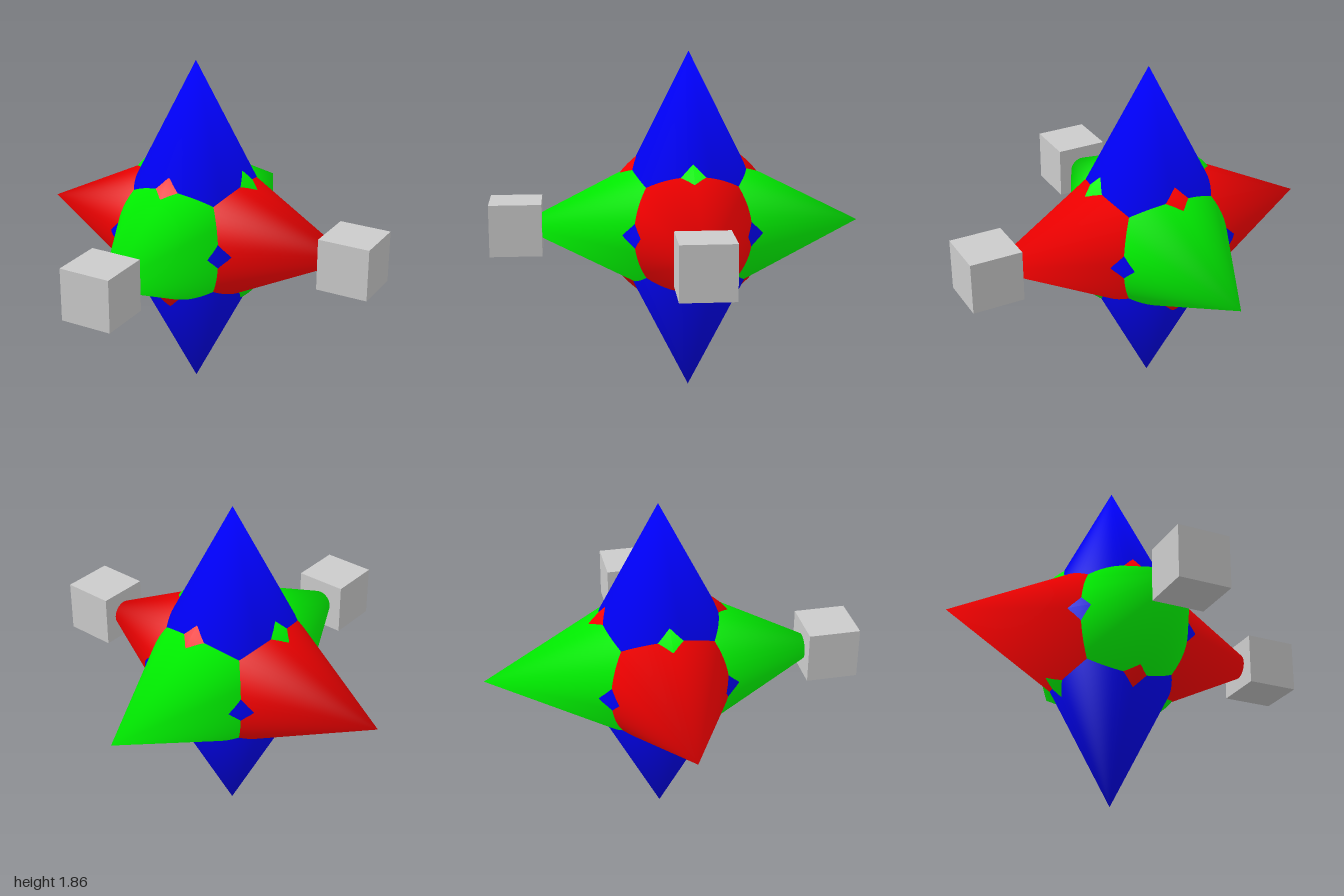
import * as THREE from 'three';

const REACH = 0.93;             // centre to spike tip
const GIRTH = REACH / 2;        // radius at the middle
const CUBE = REACH * 0.3;
const CENTRE = new THREE.Vector3(-0.07, REACH, -0.07);

// Double cone along y; two-ring sphere gives it soft, sphere-like normals
function spindle(name, color, rotX, rotZ) {
  const geometry = new THREE.SphereGeometry(1, 64, 2);
  geometry.scale(GIRTH, REACH, GIRTH);
  const mesh = new THREE.Mesh(geometry, new THREE.MeshStandardMaterial({ color }));
  mesh.rotation.set(rotX, 0, rotZ);
  mesh.name = name;
  return mesh;
}

function tipCube(name, x, z) {
  const mesh = new THREE.Mesh(
    new THREE.BoxGeometry(CUBE, CUBE, CUBE),
    new THREE.MeshStandardMaterial({ color: 0xcccccc })
  );
  mesh.position.set(x, 0, z);
  mesh.name = name;
  return mesh;
}

export function createModel() {
  const model = new THREE.Group();
  model.name = 'axisStar';

  // Three crossing double cones, one per axis
  model.add(
    spindle('sidewaysSpindle', 0xff0000, 0, -Math.PI / 2),
    spindle('uprightSpindle', 0x0000ff, 0, 0),
    spindle('frontBackSpindle', 0x00ff00, Math.PI / 2, 0)
  );

  // Cubes centred on the left and front tips
  model.add(tipCube('leftTipCube', REACH, 0), tipCube('frontTipCube', 0, REACH));

  model.position.copy(CENTRE);
  return model;
}
